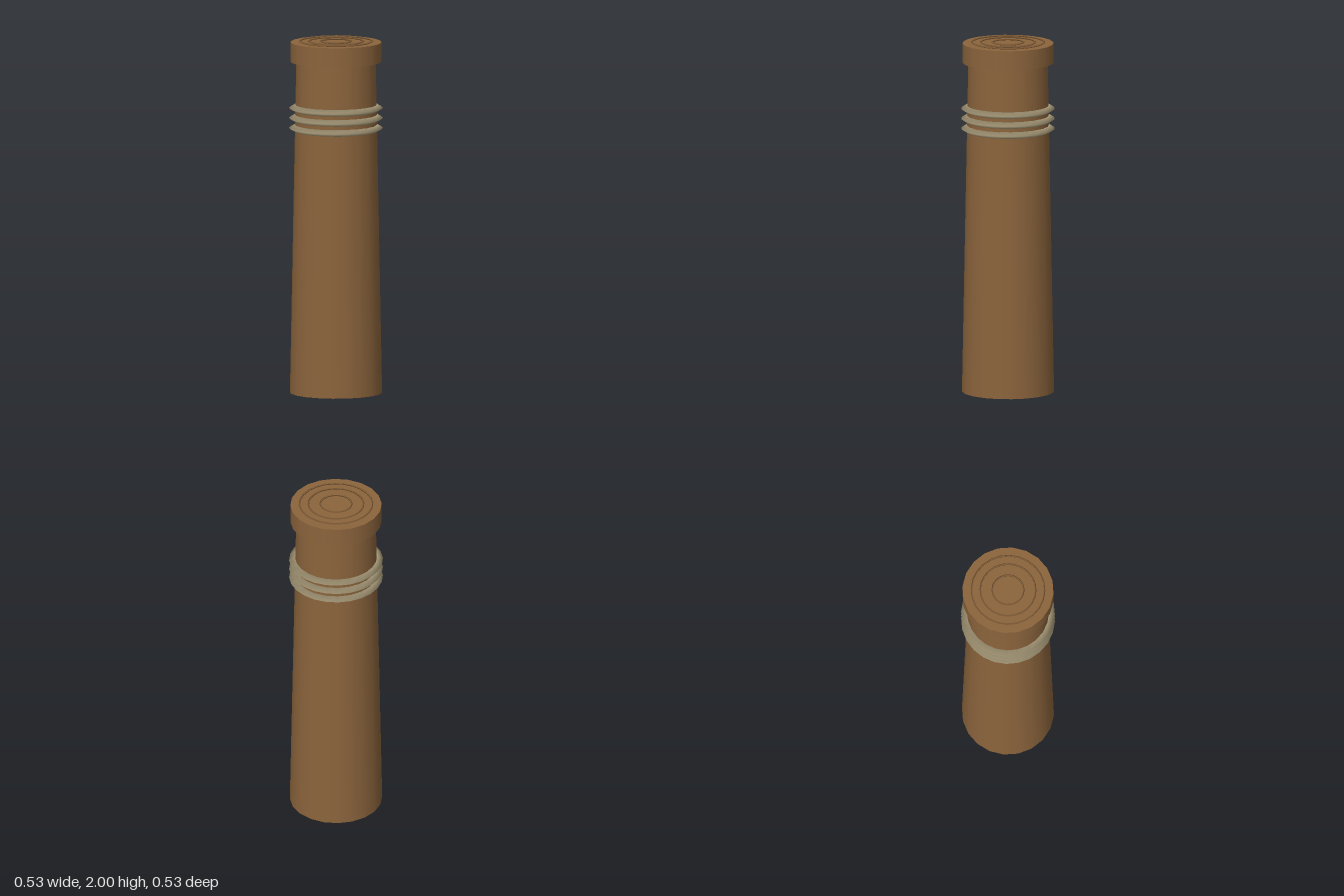
import * as THREE from 'three';

export function createModel() {
  const model = new THREE.Group();
  model.name = 'woodenPost';

  const wood = new THREE.MeshStandardMaterial({ color: 0x8b643c });
  wood.name = 'brown wood';
  const rope = new THREE.MeshStandardMaterial({ color: 0xac9e7c });
  rope.name = 'pale rope';

  const add = (name, geometry, material, y) => {
    const mesh = new THREE.Mesh(geometry, material);
    mesh.name = name;
    mesh.position.y = y;
    model.add(mesh);
  };

  // Ring lying flat, with a three-sided section pointing outward
  const ring = (radius, tube) =>
    new THREE.TorusGeometry(radius, tube, 3, 24).rotateX(Math.PI / 2);

  // Tapered shaft and wider cap
  add('shaft', new THREE.CylinderGeometry(0.224, 0.26, 1.9, 20), wood, 0.95);
  add('cap', new THREE.CylinderGeometry(0.257, 0.257, 0.11, 20), wood, 1.935);

  // Three rope bindings around the shaft
  [1.503, 1.56, 1.617].forEach((y, i) => add('ropeBinding' + (i + 1), ring(0.242, 0.022), rope, y));

  // Growth rings raised on the cap
  [0.0875, 0.1545, 0.2045].forEach((r, i) => add('growthRing' + (i + 1), ring(r, 0.0055), wood, 1.9952));

  return model;
}
